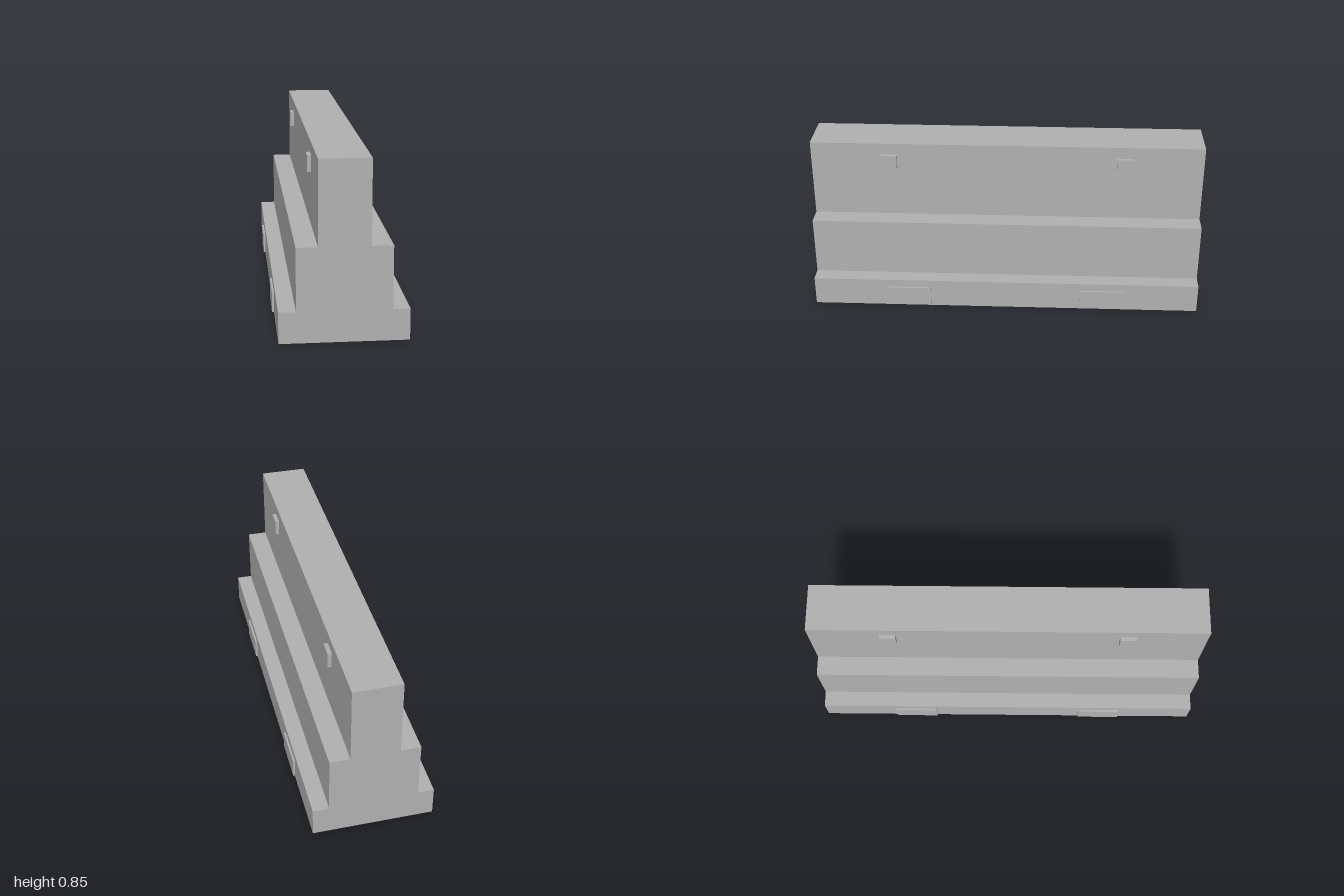
import * as THREE from 'three';

export function createModel() {
  const model = new THREE.Group();
  model.name = 'roadBarrier';

  const concrete = new THREE.MeshStandardMaterial({ color: 0xb0b0b0 });
  concrete.name = 'concreteGrey';

  // Stepped wall: one half of the cross-section, mirrored, extruded along z
  const half = [[0.3, 0], [0.3, 0.15], [0.22, 0.15], [0.22, 0.45], [0.12, 0.45], [0.12, 0.85]];
  const outline = [...half, ...half.map(([x, y]) => [-x, y]).reverse()];
  const profile = new THREE.Shape(outline.map(([x, y]) => new THREE.Vector2(x, y)));
  const wallGeometry = new THREE.ExtrudeGeometry(profile, { depth: 2, bevelEnabled: false });
  wallGeometry.translate(0, 0, -1);
  const wall = new THREE.Mesh(wallGeometry, concrete);
  wall.name = 'steppedWall';
  model.add(wall);

  // Lifting lugs near the top and shallow pads along the foot, on both sides
  const lugGeometry = new THREE.BoxGeometry(0.025, 0.08, 0.08);
  const padGeometry = new THREE.BoxGeometry(0.02, 0.1, 0.22);
  for (const side of [-1, 1]) {
    for (const end of [-1, 1]) {
      const lug = new THREE.Mesh(lugGeometry, concrete);
      lug.name = 'liftingLug';
      lug.position.set(side * 0.1275, 0.75, end * 0.6);

      const pad = new THREE.Mesh(padGeometry, concrete);
      pad.name = 'footPad';
      pad.position.set(side * 0.3, 0.06, end * 0.5);

      model.add(lug, pad);
    }
  }

  return model;
}
